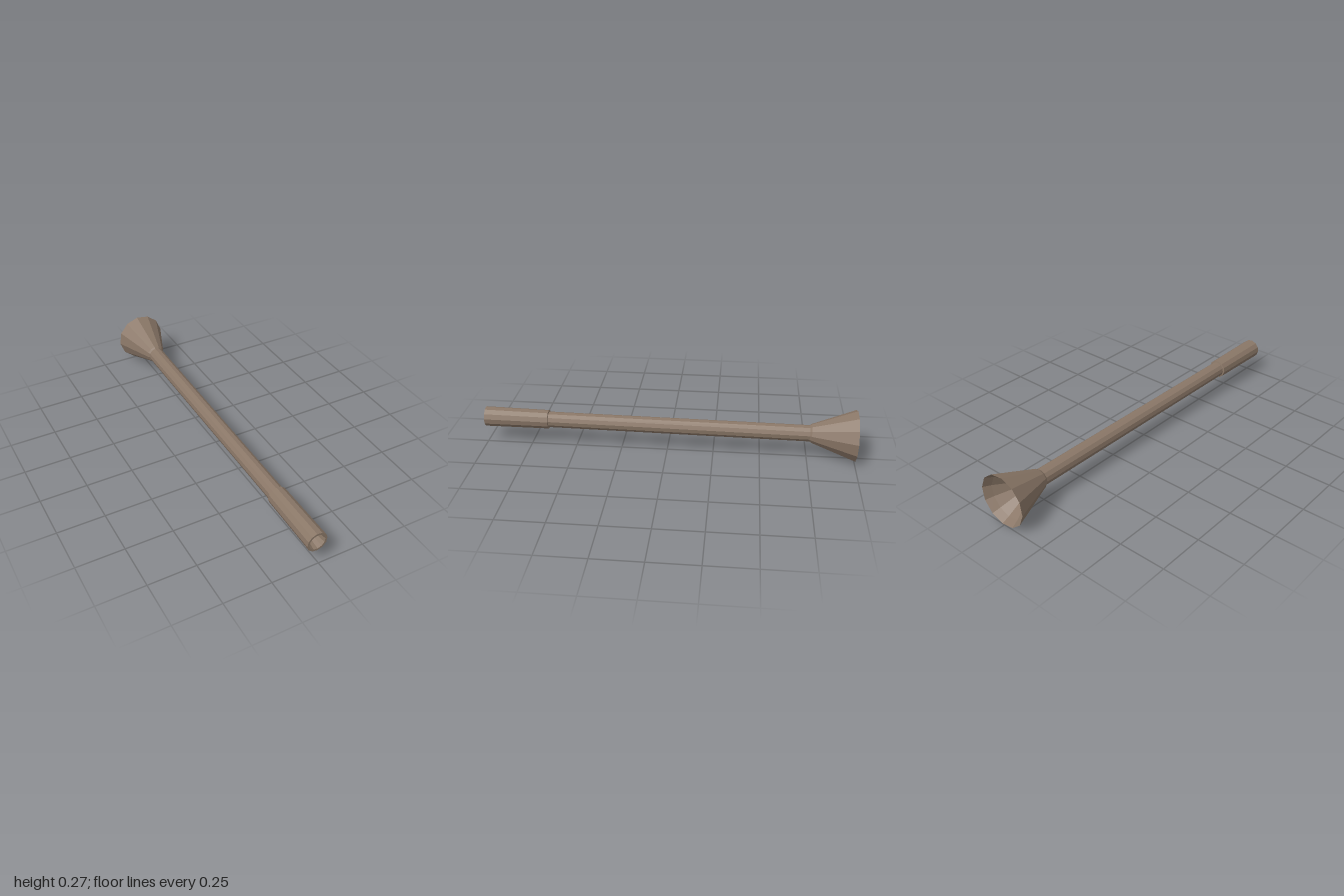
import * as THREE from 'three';

const SIDES = 12;

// Centre of the slightly tilted axis at a given z
const axisX = (z) => -0.009 - 0.009 * z;
const axisY = (z) => 0.142 + 0.004 * z;

// Faceted turned part: profile of [radius, z] pairs, following the tilted axis
function turned(name, profile, material) {
  const points = profile.map(([r, z]) => new THREE.Vector2(r, z));
  const geometry = new THREE.LatheGeometry(points, SIDES);
  geometry.rotateX(Math.PI / 2);
  geometry.rotateZ(0.11);
  const pos = geometry.attributes.position;
  for (let i = 0; i < pos.count; i++) {
    const z = pos.getZ(i);
    pos.setXY(i, pos.getX(i) + axisX(z), pos.getY(i) + axisY(z));
  }
  geometry.computeVertexNormals();
  const mesh = new THREE.Mesh(geometry, material);
  mesh.name = name;
  return mesh;
}

export function createModel() {
  const group = new THREE.Group();
  group.name = 'flaredTube';
  const material = new THREE.MeshStandardMaterial({ color: 0x8a7767, flatShading: true });

  // Hollow flared bell at the back, with a bevelled rim
  group.add(turned('bell', [
    [0, -0.78], [0.118, -0.96], [0.138, -1], [0.051, -0.768], [0.043, -0.757],
  ], material));

  // Long straight tube
  group.add(turned('tube', [[0.044, -0.77], [0.043, 0.66]], material));

  // Thicker sleeve at the front with a tapering bore
  group.add(turned('sleeve', [
    [0.042, 0.648], [0.051, 0.65], [0.054, 1], [0.043, 1], [0, 0.75],
  ], material));

  return group;
}
